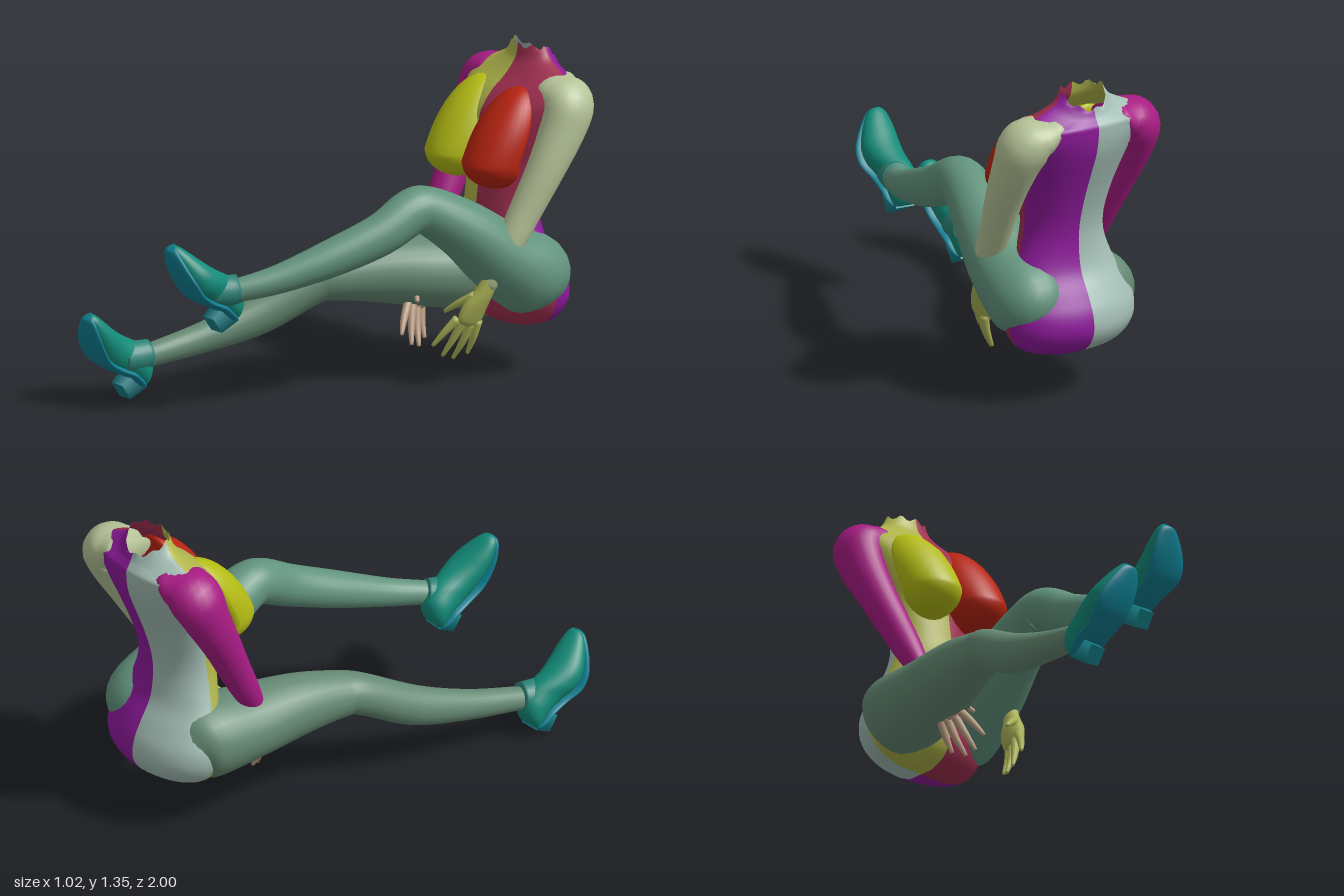
import * as THREE from 'three';

const MID = 0.13; // body's own centre line in x
const X = new THREE.Vector3(1, 0, 0), Y = new THREE.Vector3(0, 1, 0), Z = new THREE.Vector3(0, 0, 1);
const mat = (color, side = THREE.FrontSide) => new THREE.MeshStandardMaterial({ color, side });

// Smooth skin over elliptical sections [x, y, z, a, b]; a lies along ref, b across it.
// Faces are stored sector by sector so a quarter of the ring can take its own colour.
function loft(pts, { ref = X, tan = null, sides = 24, steps = 5, open = false } = {}) {
  const path = new THREE.CatmullRomCurve3(pts.map(p => new THREE.Vector3(p[0], p[1], p[2])), false, 'catmullrom');
  const size = new THREE.CatmullRomCurve3(pts.map(p => new THREE.Vector3(p[3], p[4] ?? p[3], 0)), false, 'catmullrom');
  const n = (pts.length - 1) * steps, pos = [], index = [];
  for (let i = 0; i <= n; i++) {
    const c = path.getPoint(i / n), r = size.getPoint(i / n);
    const T = tan ?? path.getTangent(i / n);
    const B = T.clone().cross(ref).normalize(), A = B.clone().cross(T);
    for (let j = 0; j < sides; j++) {
      const t = j / sides * Math.PI * 2;
      pos.push(...c.clone().addScaledVector(A, r.x * Math.cos(t)).addScaledVector(B, r.y * Math.sin(t)).toArray());
    }
  }
  const first = (n + 1) * sides;
  pos.push(...path.getPoint(0).toArray(), ...path.getPoint(1).toArray());
  for (let j = 0; j < sides; j++) {
    const k = (j + 1) % sides;
    index.push(first, k, j);
    for (let i = 0; i < n; i++) {
      const a = i * sides + j, b = i * sides + k;
      index.push(a, b, b + sides, a, b + sides, a + sides);
    }
    if (!open) index.push(first + 1, n * sides + j, n * sides + k);
  }
  const g = new THREE.BufferGeometry();
  g.setAttribute('position', new THREE.Float32BufferAttribute(pos, 3));
  g.setIndex(index);
  g.computeVertexNormals();
  return g;
}

function add(parent, name, geometry, material) {
  const m = new THREE.Mesh(geometry, material);
  m.name = name;
  parent.add(m);
  return m;
}

// Torso in four coloured quarters, with a ragged open neck
function addTorso(g) {
  const rows = [ // y, z, half width, half depth
    [0.212, -0.775, 0.13, 0.065], [0.25, -0.775, 0.235, 0.137], [0.32, -0.78, 0.287, 0.178], [0.40, -0.775, 0.297, 0.179],
    [0.48, -0.76, 0.268, 0.157], [0.57, -0.735, 0.228, 0.132], [0.68, -0.72, 0.192, 0.13], [0.78, -0.73, 0.185, 0.13],
    [0.90, -0.755, 0.205, 0.142], [1.0, -0.77, 0.237, 0.167], [1.1, -0.795, 0.272, 0.182], [1.18, -0.83, 0.305, 0.163],
    [1.235, -0.86, 0.285, 0.128], [1.275, -0.87, 0.2, 0.1], [1.31, -0.873, 0.135, 0.08], [1.355, -0.87, 0.1, 0.066]];
  const sides = 40;
  const geo = loft(rows.map(([y, z, a, b]) => [MID, y, z, a, b]), { tan: Y, sides, open: true });
  const p = geo.attributes.position, last = p.count - 2 - sides;
  for (let j = 0; j < sides; j++) p.setY(last + j, 1.355 + 0.01 * Math.sin(j * 1.3));
  for (let i = 0; i < last + sides; i++) { // the opening dips towards the nape
    const w = THREE.MathUtils.clamp((p.getY(i) - 1.2) / 0.15, 0, 1) * THREE.MathUtils.clamp((-0.87 - p.getZ(i)) / 0.07, 0, 1);
    p.setY(i, p.getY(i) - 0.07 * w);
    p.setZ(i, p.getZ(i) - 0.025 * w);
  }
  geo.computeVertexNormals();
  const quarter = geo.index.count / 4;
  for (let q = 0; q < 4; q++) geo.addGroup(q * quarter, quarter, q);
  add(g, 'torso', geo, [0x8f1a9c, 0xa3bdb4, 0xb0b44a, 0xa02f50].map(c => mat(c, THREE.DoubleSide)));
}

// Bust: a sphere drawn out upwards and outwards, flat behind, so it runs into the chest
function addBust(g, s) {
  const geo = new THREE.SphereGeometry(1, 32, 24), p = geo.attributes.position;
  for (let i = 0; i < p.count; i++) {
    const up = Math.max(0, p.getY(i)), z = p.getZ(i);
    const y = p.getY(i) * (up > 0 ? 0.29 : 0.115);
    p.setXYZ(i, p.getX(i) * 0.132 * (1 + 0.25 * up), y, z * (z > 0 ? 0.15 : 0.06) - 0.122 * up);
  }
  geo.computeVertexNormals();
  add(g, s > 0 ? 'leftBust' : 'rightBust', geo, mat(s > 0 ? 0xb82410 : 0xb4bc14)).position.set(MID + s * 0.126, 0.93, -0.605);
}

// Arm and hand, mirrored about the body's centre line
function addArm(g, s) {
  const side = s > 0 ? 'left' : 'right';
  const at = pts => pts.map(([x, ...rest]) => [MID + s * (x - MID), ...rest]);
  add(g, side + 'Arm', loft(at([
    [0.26, 1.2, -0.86, 0.05, 0.11], [0.34, 1.19, -0.86, 0.078, 0.112], [0.4, 1.15, -0.852, 0.104, 0.113], [0.418, 1.05, -0.81, 0.09, 0.097],
    [0.414, 0.9, -0.73, 0.077, 0.08], [0.395, 0.74, -0.645, 0.067, 0.068], [0.385, 0.63, -0.585, 0.06],
    [0.375, 0.53, -0.53, 0.047], [0.355, 0.44, -0.485, 0.034]])), mat(s > 0 ? 0xb6c498 : 0xa81c84));
  const hand = new THREE.Group();
  hand.name = side + 'Hand';
  g.add(hand);
  const skin = mat(s > 0 ? 0xa9b055 : 0xb79a80);
  add(hand, 'palm', loft(at([[0.362, 0.475, -0.498, 0.033, 0.032], [0.348, 0.41, -0.468, 0.04, 0.034],
    [0.325, 0.35, -0.44, 0.056, 0.036], [0.312, 0.295, -0.42, 0.056, 0.026], [0.308, 0.275, -0.413, 0.035, 0.013]]),
    { ref: Z, sides: 16 }), skin);
  const fingers = [ // knuckle, middle joint, tip
    [[0.297, 0.31, -0.375], [0.266, 0.25, -0.33], [0.235, 0.195, -0.295]],
    [[0.303, 0.295, -0.4], [0.27, 0.215, -0.37], [0.235, 0.145, -0.345]],
    [[0.315, 0.29, -0.43], [0.285, 0.205, -0.41], [0.245, 0.13, -0.39]],
    [[0.325, 0.295, -0.458], [0.305, 0.22, -0.448], [0.275, 0.15, -0.44]],
    [[0.335, 0.405, -0.435], [0.275, 0.365, -0.395], [0.222, 0.325, -0.365]]];
  fingers.forEach((f, i) => add(hand, i < 4 ? 'finger' : 'thumb',
    loft(at(f.map((q, k) => [...q, [0.019, 0.015, 0.008][k]])), { ref: Z, sides: 10 }), skin));
}

// Ankle boot: upper, sole and block heel; local z runs to the toe, local y up from the sole
function addBoot(g, name, s, origin, yaw) {
  const boot = new THREE.Group();
  boot.name = name;
  const rows = [ // distance to toe, bottom, top, half width, inward bend
    [-0.034, 0.08, 0.1, 0.03, 0], [-0.024, 0.066, 0.125, 0.052, 0], [0.005, 0.058, 0.16, 0.065, 0], [0.05, 0.046, 0.18, 0.068, 0],
    [0.11, 0.01, 0.168, 0.066, -0.004], [0.17, -0.014, 0.137, 0.076, -0.012], [0.23, -0.014, 0.11, 0.079, -0.01],
    [0.29, -0.004, 0.09, 0.068, 0.002], [0.345, 0.012, 0.072, 0.047, 0.014], [0.37, 0.022, 0.06, 0.028, 0.018], [0.376, 0.032, 0.05, 0.01, 0.019]];
  add(boot, 'upper', loft(rows.map(([z, lo, hi, w, x]) => [-s * x, (lo + hi) / 2, z, w, (hi - lo) / 2]), { tan: Z }), mat(0x128a78));
  add(boot, 'sole', loft(rows.map(([z, lo, , w, x]) => [-s * x, lo + 0.012, z, w * 1.06, 0.018]), { tan: Z }), mat(0x0e7f92));
  const heel = new THREE.CylinderGeometry(0.062, 0.05, 0.085, 4).rotateY(Math.PI / 4);
  add(boot, 'heel', heel.toNonIndexed(), mat(0x14828a)).position.set(0, 0.0425, 0.004);
  boot.position.set(...origin);
  boot.rotation.set(-0.98, yaw, 0);
  boot.scale.setScalar(1.05);
  g.add(boot);
}

export function createModel() {
  const g = new THREE.Group();
  g.name = 'seatedMannequin';
  addTorso(g);
  for (const s of [1, -1]) {
    addBust(g, s);
    addArm(g, s);
  }

  // Left leg with raised knee
  add(g, 'leftLeg', loft([
    [0.29, 0.35, -0.83, 0.1], [0.298, 0.43, -0.75, 0.17], [0.297, 0.54, -0.58, 0.163, 0.148], [0.287, 0.67, -0.42, 0.137, 0.122],
    [0.267, 0.775, -0.25, 0.103, 0.1], [0.262, 0.782, -0.165, 0.092, 0.095], [0.252, 0.71, -0.02, 0.082, 0.088],
    [0.2, 0.635, 0.18, 0.077, 0.078], [0.13, 0.565, 0.4, 0.059, 0.06], [0.065, 0.53, 0.56, 0.049], [0.03, 0.52, 0.62, 0.045]]), mat(0x62937d));
  // Right leg lying lower and further forward
  add(g, 'rightLeg', loft([
    [-0.03, 0.38, -0.84, 0.1], [-0.035, 0.4, -0.74, 0.17], [-0.07, 0.412, -0.52, 0.167, 0.152], [-0.125, 0.43, -0.3, 0.129, 0.13],
    [-0.175, 0.425, -0.11, 0.098, 0.098], [-0.21, 0.405, -0.02, 0.088, 0.086], [-0.277, 0.295, 0.2, 0.076, 0.083],
    [-0.33, 0.227, 0.44, 0.06, 0.064], [-0.37, 0.185, 0.66, 0.05], [-0.39, 0.17, 0.74, 0.045]]), mat(0x668a74));

  // Boot cuffs around the ankles
  const cuff = mat(0x2c8478);
  add(g, 'leftCuff', loft([[0.06, 0.537, 0.55, 0.058], [0.04, 0.527, 0.59, 0.064, 0.065], [0.012, 0.525, 0.66, 0.064]]), cuff);
  add(g, 'rightCuff', loft([[-0.375, 0.19, 0.68, 0.058], [-0.388, 0.182, 0.735, 0.064, 0.065], [-0.402, 0.18, 0.8, 0.064]]), cuff);
  addBoot(g, 'leftBoot', 1, [0.014, 0.385, 0.65], -0.05);
  addBoot(g, 'rightBoot', -1, [-0.405, 0.04, 0.8], 0);
  return g;
}
